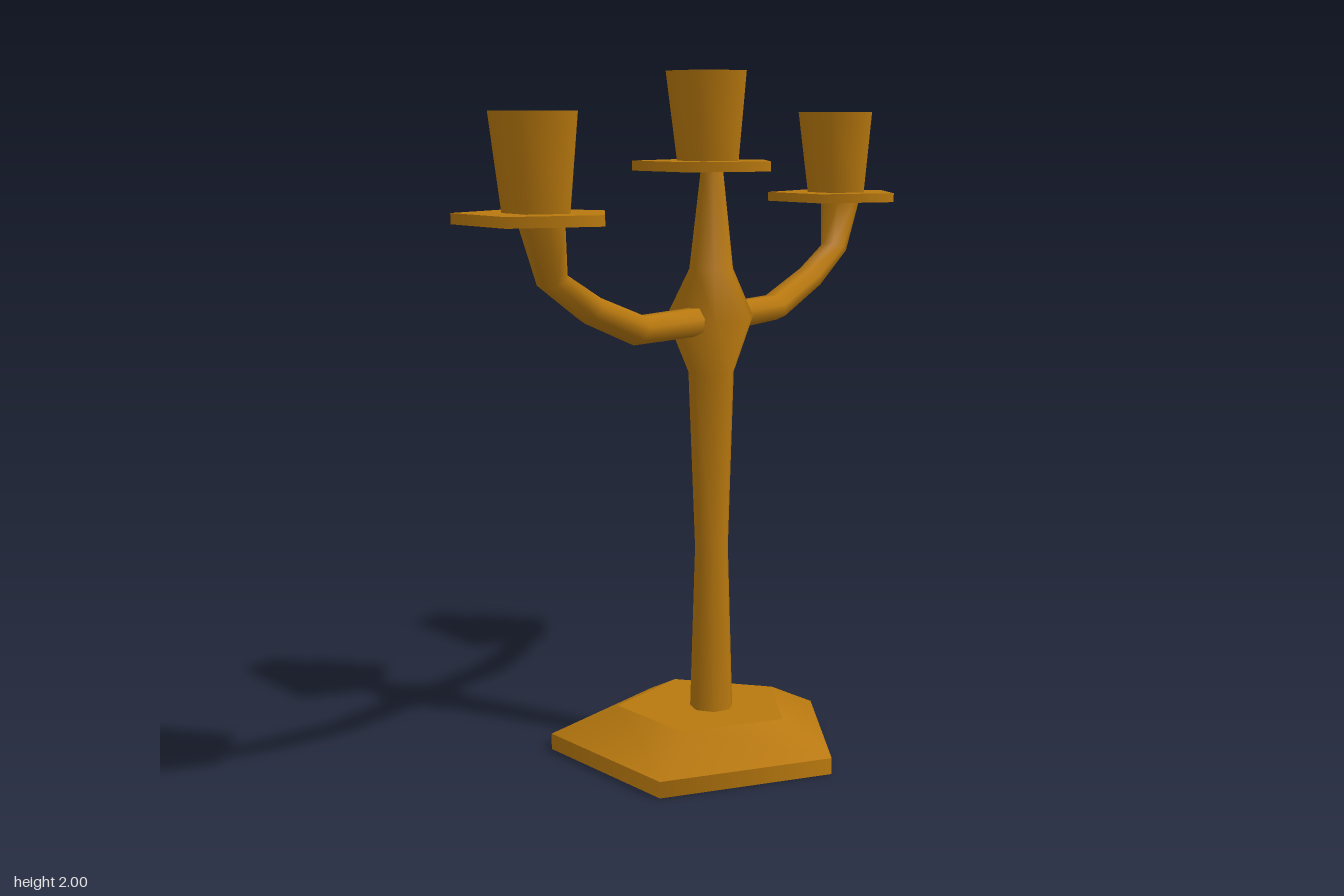
import * as THREE from 'three';
import { mergeGeometries } from 'three/addons/utils/BufferGeometryUtils.js';

const brass = new THREE.MeshStandardMaterial({ color: 0xb8780e });

// Lathe made of strips: smooth inside a strip, hard edge between strips.
// Each ring slides in x so that an odd-sided ring stays centred on its width.
function turned(name, strips, sides) {
  const geo = mergeGeometries(strips.map((strip) =>
    new THREE.LatheGeometry(strip.map(([r, y]) => new THREE.Vector2(r, y)), sides, Math.PI / 2)));
  const pos = geo.attributes.position;
  const shift = (1 - Math.cos(Math.PI / sides)) / 2;
  for (let i = 0; i < pos.count; i++) {
    pos.setX(i, pos.getX(i) - shift * Math.hypot(pos.getX(i), pos.getZ(i)));
  }
  const mesh = new THREE.Mesh(geo, brass);
  mesh.name = name;
  return mesh;
}

// Turn a list of points into one hard-edged strip per pair.
const hard = (pts) => pts.slice(1).map((p, i) => [pts[i], p]);

// Drip dish with a hollow flared cup on top
function candleHolder(name, y, z) {
  const g = new THREE.Group();
  g.name = name;
  g.add(turned('dripDish', hard([[0, 0], [0.213, 0], [0.213, 0.028], [0, 0.028]]), 5));
  g.add(turned('cup', [
    ...hard([[0.095, 0.028], [0.124, 0.28], [0.1, 0.28]]),
    [[0.1, 0.28], [0.065, 0.16], [0, 0.15]],
  ], 5));
  g.position.set(0, y, z);
  return g;
}

// Curved arm: rings of [z, y, radius, tilt in degrees] joined smoothly
function arm(name) {
  const rings = [
    [0, 1.295, 0.044, 0], [0.365, 1.3, 0.044, 24], [0.58, 1.374, 0.042, 37],
    [0.738, 1.46, 0.042, 67], [0.778, 1.61, 0.063, 90],
  ];
  const sides = 7, pos = [], index = [];
  rings.forEach(([z, y, r, deg], i) => {
    const t = THREE.MathUtils.degToRad(deg);
    for (let j = 0; j < sides; j++) {
      const a = ((j + 0.5) / sides) * Math.PI * 2;
      const n = r * Math.cos(a);
      pos.push(r * Math.sin(a), y + n * Math.cos(t), z - n * Math.sin(t));
      if (i === rings.length - 1) continue;
      const k = (j + 1) % sides, b = i * sides, c = b + sides;
      index.push(b + j, c + j, b + k, b + k, c + j, c + k);
    }
  });
  const geo = new THREE.BufferGeometry();
  geo.setAttribute('position', new THREE.Float32BufferAttribute(pos, 3));
  geo.setIndex(index);
  geo.computeVertexNormals();
  const mesh = new THREE.Mesh(geo, brass);
  mesh.name = name;
  return mesh;
}

export function createModel() {
  const model = new THREE.Group();
  model.name = 'candelabra';

  // Five-sided foot with a sloping top
  const base = turned('base', hard([[0, 0], [0.448, 0], [0.448, 0.048], [0.264, 0.135], [0, 0.135]]), 5);
  base.position.z = -0.019;

  // Stem with a knob where the arms meet
  const stem = turned('stem', [[
    [0.065, 0.13], [0.05, 0.62], [0.068, 1.14], [0.13, 1.3], [0.065, 1.44], [0.032, 1.73],
  ]], 7);
  stem.position.z = -0.017;
  model.add(base, stem);

  // Matching arms, front and back
  const frontArm = arm('frontArm');
  const backArm = arm('backArm');
  backArm.rotation.y = Math.PI;
  model.add(frontArm, backArm);

  // Three holders, the middle one raised
  model.add(
    candleHolder('centreHolder', 1.72, -0.018),
    candleHolder('frontHolder', 1.606, 0.777),
    candleHolder('backHolder', 1.606, -0.777),
  );
  return model;
}
